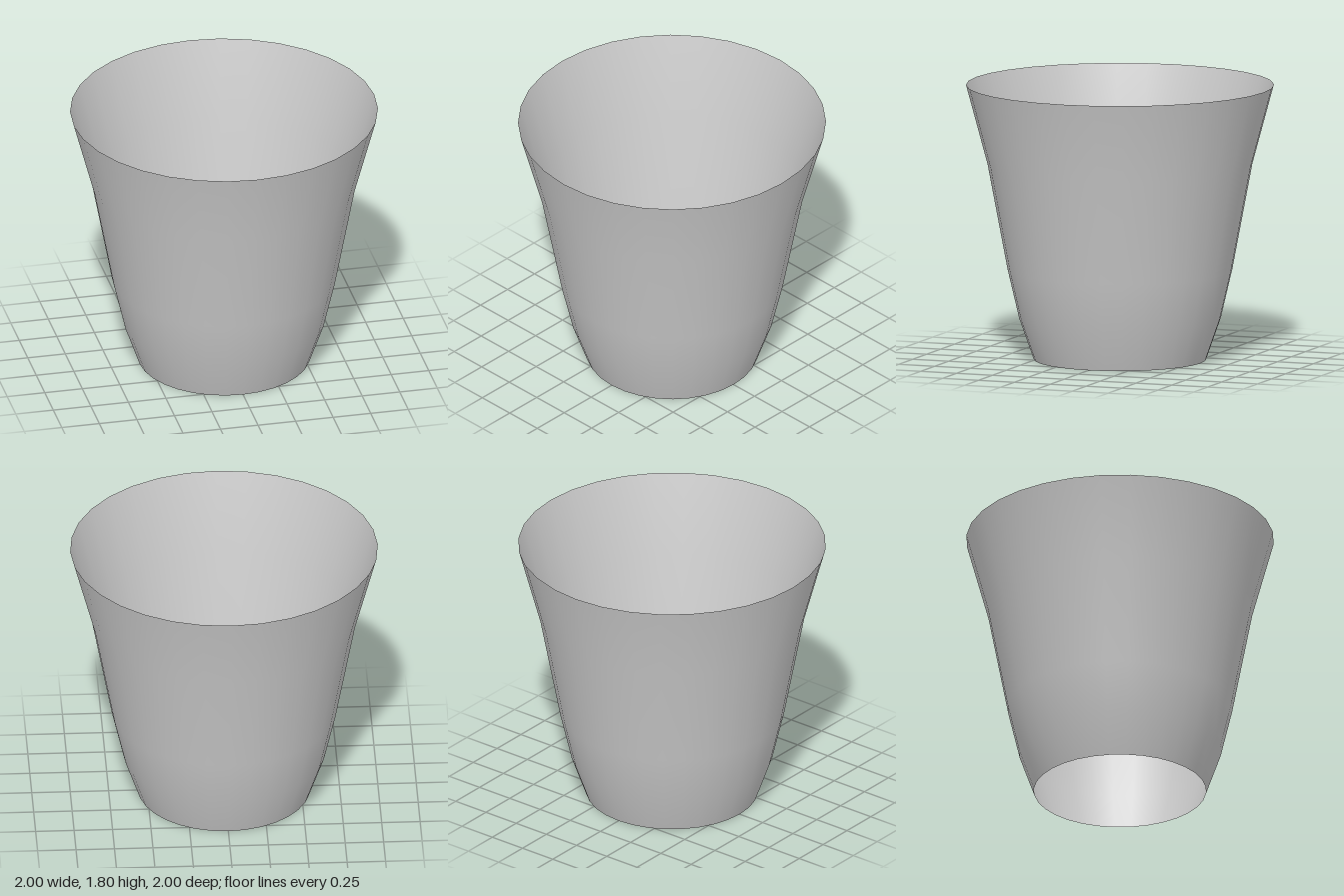
import * as THREE from 'three';

export function createModel() {
  const group = new THREE.Group();
  group.name = 'cup';

  // Flared wall, open at the top and the bottom
  const profile = [
    [0.56, 0], [0.655, 0.27], [0.73, 0.59], [0.86, 1.28], [1, 1.8],
  ].map(([radius, y]) => new THREE.Vector2(radius, y));

  const wall = new THREE.Mesh(
    new THREE.LatheGeometry(profile, 32),
    new THREE.MeshStandardMaterial({ color: 0xcccccc, side: THREE.DoubleSide }),
  );
  wall.name = 'wall';
  group.add(wall);

  return group;
}
